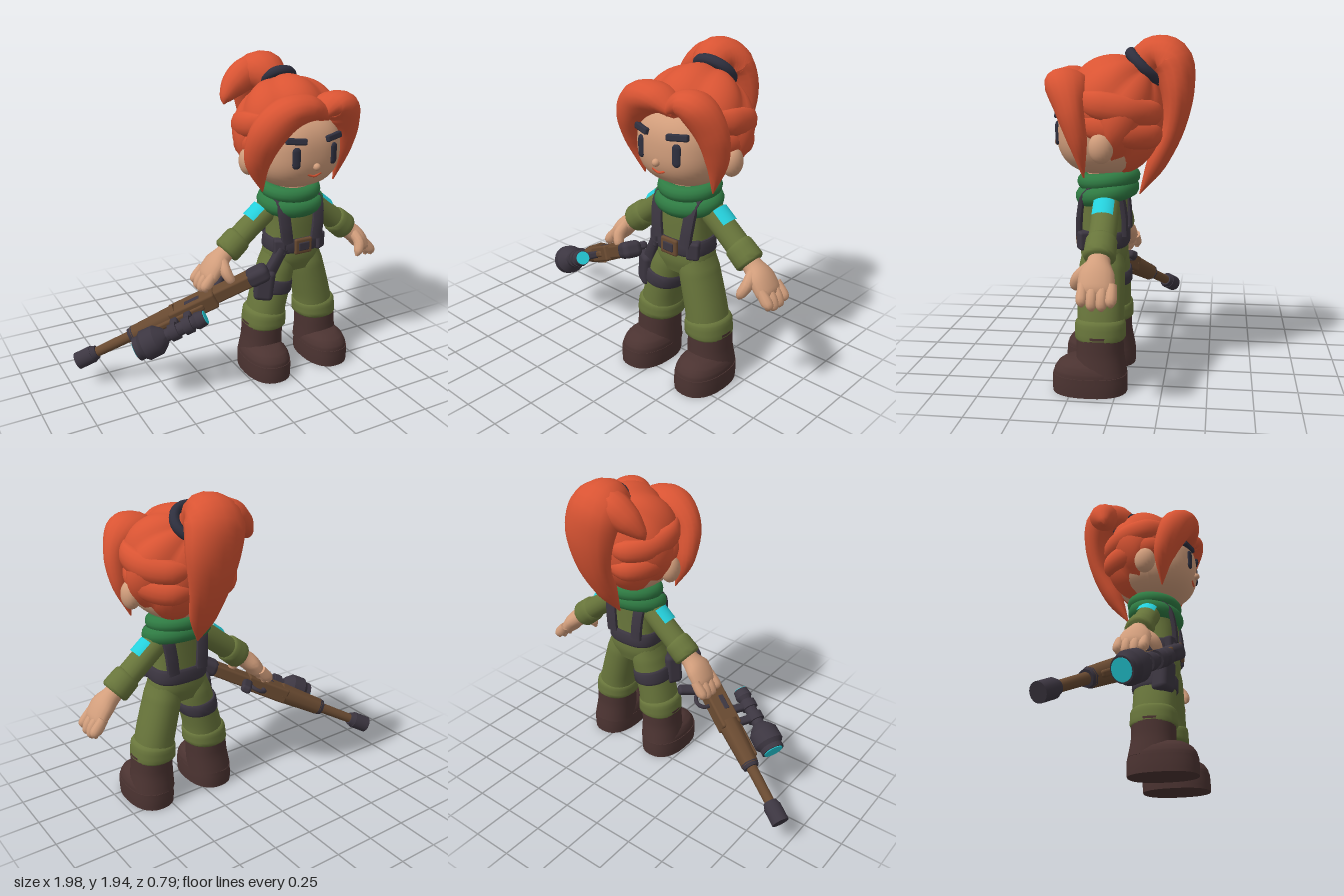
import * as THREE from 'three';
import { toCreasedNormals } from 'three/addons/utils/BufferGeometryUtils.js';
import { RoundedBoxGeometry } from 'three/addons/geometries/RoundedBoxGeometry.js';

const V = (x, y, z) => new THREE.Vector3(x, y, z);
const mat = (name, color) => Object.assign(new THREE.MeshStandardMaterial({ color }), { name });

// Tube through points; radii [a along axis, b across] per point, e < 1 makes the section boxier
function loft(pts, radii, axis, e = 1, seg = 18, per = 5) {
  const path = new THREE.CatmullRomCurve3(pts.map(p => V(...p)));
  const size = new THREE.CatmullRomCurve3(radii.map(r => V(r[0], r[1], 0)));
  const n = (pts.length - 1) * per, pos = [], idx = [];
  const pw = c => Math.sign(c) * Math.abs(c) ** e;
  for (let i = 0; i <= n; i++) {
    const p = path.getPoint(i / n), T = path.getTangent(i / n), r = size.getPoint(i / n);
    const B = V(...axis).addScaledVector(T, -T.dot(V(...axis))).normalize();
    const N = T.clone().cross(B);
    for (let j = 0; j < seg; j++) {
      const a = j / seg * Math.PI * 2;
      const q = p.clone().addScaledVector(B, r.x * pw(Math.cos(a))).addScaledVector(N, r.y * pw(Math.sin(a)));
      pos.push(q.x, q.y, q.z);
    }
  }
  for (let i = 0; i < n; i++) for (let j = 0; j < seg; j++) {
    const k = (j + 1) % seg, a = i * seg + j, b = i * seg + k;
    idx.push(a, b, a + seg, b, b + seg, a + seg);
  }
  const c = pos.length / 3, first = path.getPoint(0), last = path.getPoint(1), o = n * seg;
  pos.push(first.x, first.y, first.z, last.x, last.y, last.z);
  for (let j = 0; j < seg; j++) {
    const k = (j + 1) % seg;
    idx.push(c, k, j, c + 1, o + j, o + k);
  }
  const g = new THREE.BufferGeometry();
  g.setAttribute('position', new THREE.Float32BufferAttribute(pos, 3));
  g.setIndex(idx);
  return toCreasedNormals(g, 0.9);
}

// Unit sphere with every vertex moved by a rule
function warpSphere(rule) {
  const g = new THREE.SphereGeometry(1, 64, 36), p = g.attributes.position, v = V(0, 0, 0);
  for (let i = 0; i < p.count; i++) {
    rule(v.fromBufferAttribute(p, i));
    p.setXYZ(i, v.x, v.y, v.z);
  }
  return g;
}

export function createModel() {
  const M = {
    hair: mat('orange hair', 0xd95433), skin: mat('skin', 0xd29e7c), olive: mat('olive cloth', 0x68753b),
    scarf: mat('green scarf', 0x2f7b43), dark: mat('dark gear', 0x3c3641), navy: mat('dark features', 0x2f303f),
    boot: mat('boot leather', 0x4b3331), wood: mat('brown wood', 0x694a31), cyan: mat('cyan', 0x25d0dc),
  };
  const root = new THREE.Group(), body = new THREE.Group(), rifle = new THREE.Group();
  root.add(body, rifle);
  body.name = 'figure';
  rifle.name = 'rifle';
  body.position.x = 0.36;
  const add = (parent, name, geo, m, x = 0, y = 0, z = 0) => {
    const mesh = new THREE.Mesh(geo, m);
    mesh.name = name;
    mesh.position.set(x, y, z);
    parent.add(mesh);
    return mesh;
  };
  const rbox = (w, h, d, r = 0.015) => new RoundedBoxGeometry(w, h, d, 2, r);
  const X = [1, 0, 0], Z = [0, 0, 1];

  // Torso, belt and scarf
  add(body, 'torso', loft([[0, 0.665, 0.095], [0, 0.75, 0.095], [0, 0.87, 0.095], [0, 1, 0.095], [0, 1.1, 0.09], [0, 1.15, 0.085]],
    [[0.14, 0.11], [0.18, 0.13], [0.155, 0.125], [0.15, 0.125], [0.16, 0.12], [0.09, 0.08]], X, 0.75, 28), M.olive);
  add(body, 'belt', loft([[0, 0.79, 0.095], [0, 0.805, 0.095], [0, 0.865, 0.095], [0, 0.88, 0.095]],
    [[0.17, 0.135], [0.177, 0.142], [0.172, 0.14], [0.165, 0.133]], X, 0.75, 28, 2), M.dark);
  add(body, 'buckleFrame', rbox(0.12, 0.1, 0.025), M.wood, 0, 0.835, 0.238);
  add(body, 'bucklePlate', rbox(0.075, 0.055, 0.02, 0.008), M.dark, 0, 0.835, 0.246);
  add(body, 'neck', new THREE.CylinderGeometry(0.115, 0.115, 0.16, 24), M.skin, 0, 1.16, 0.075);
  [[1.163, 0.143, 0.047, 0.07, 0.12], [1.09, 0.162, 0.052, 0.078, 0.2]].forEach(([y, R, r, z, tilt], i) => {
    const ring = add(body, i ? 'scarfLowerFold' : 'scarfUpperFold', new THREE.TorusGeometry(R, r, 12, 36), M.scarf, 0, y, z);
    ring.rotation.x = Math.PI / 2 + tilt;
    ring.scale.y = i ? 0.84 : 0.93;
  });

  for (const s of [1, -1]) {
    const P = pts => pts.map(([x, y, z]) => [x * s, y, z]);
    add(body, 'shoulderStrap', loft(P([[0.1, 0.86, 0.222], [0.115, 0.98, 0.215], [0.122, 1.09, 0.185], [0.12, 1.14, 0.09],
      [0.115, 1.08, -0.005], [0.105, 0.98, -0.028], [0.095, 0.86, -0.032]]), Array(7).fill([0.038, 0.016]), X, 0.5, 12), M.dark);
    add(body, 'beltPouch', rbox(0.075, 0.105, 0.07), M.dark, 0.135 * s, 0.835, 0.19).rotation.y = 0.5 * s;

    // Legs and boots
    add(body, 'leg', loft(P([[0.095, 0.77, 0.095], [0.105, 0.68, 0.095], [0.135, 0.56, 0.095], [0.165, 0.44, 0.095], [0.18, 0.35, 0.095]]),
      [[0.08, 0.11], [0.103, 0.128], [0.108, 0.13], [0.112, 0.13], [0.118, 0.13]], X, 0.9, 24), M.olive);
    add(body, 'trouserCuff', loft(P([[0.187, 0.295, 0.095], [0.187, 0.31, 0.095], [0.182, 0.385, 0.095], [0.18, 0.405, 0.095]]),
      [[0.122, 0.13], [0.133, 0.142], [0.129, 0.14], [0.115, 0.126]], X, 0.9, 24, 3), M.olive);
    add(body, 'bootShaft', loft(P([[0.197, 0.33, 0.095], [0.2, 0.22, 0.095], [0.208, 0.1, 0.09]]),
      [[0.122, 0.13], [0.124, 0.132], [0.133, 0.146]], X, 0.9, 24), M.boot);
    add(body, 'bootFoot', loft(P([[0.212, 0.09, 0.15], [0.212, 0.125, 0.15], [0.212, 0.16, 0.15], [0.212, 0.19, 0.15], [0.212, 0.205, 0.15]]),
      [[0.137, 0.205], [0.134, 0.2], [0.12, 0.178], [0.085, 0.13], [0.03, 0.05]], X, 0.85, 28), M.boot);
    add(body, 'bootSole', loft(P([[0.213, 0, 0.15], [0.213, 0.05, 0.15], [0.213, 0.105, 0.15]]),
      [[0.139, 0.208], [0.141, 0.21], [0.139, 0.207]], X, 0.85, 28, 2), M.boot);

    // Arms, shoulder patches and hands
    add(body, 'sleeve', loft(P([[0.08, 1.09, 0.07], [0.15, 1.045, 0.065], [0.27, 0.95, 0.06], [0.39, 0.85, 0.06]]),
      [[0.05, 0.05], [0.074, 0.072], [0.074, 0.07], [0.075, 0.07]], Z), M.olive);
    add(body, 'sleeveCuff', loft(P([[0.335, 0.897, 0.06], [0.35, 0.885, 0.06], [0.425, 0.822, 0.06], [0.438, 0.811, 0.06]]),
      [[0.07, 0.07], [0.083, 0.083], [0.086, 0.086], [0.072, 0.072]], Z, 1, 18, 3), M.olive);
    const dir = V(0.77 * s, -0.64, 0).normalize(), out = V(0.64 * s, 0.77, s > 0 ? 0.05 : 0.12);
    out.addScaledVector(dir, -out.dot(dir)).normalize();
    const patch = add(body, 'shoulderPatch', new THREE.CylinderGeometry(0.084, 0.084, 0.1, 10, 1, true, -0.75, 1.5), M.cyan);
    patch.quaternion.setFromRotationMatrix(new THREE.Matrix4().makeBasis(dir.clone().cross(out), dir, out));
    patch.position.set(0.212 * s, 0.997, 0.063);
    add(body, 'palm', loft(P([[0.4, 0.84, 0.06], [0.45, 0.8, 0.06], [0.51, 0.75, 0.062], [0.555, 0.69, 0.06], [0.572, 0.655, 0.06]]),
      [[0.055, 0.055], [0.06, 0.055], [0.092, 0.056], [0.095, 0.048], [0.08, 0.03]], Z), M.skin);
    [0.125, 0.075, 0.025, -0.022].forEach((z, i) => {
      const d = i === 0 || i === 3 ? 0.02 : 0;
      add(body, 'finger', loft(P([[0.55, 0.71, z], [0.59, 0.66, z], [0.607, 0.62 + d, z], [0.602, 0.592 + d, z]]),
        [[0.026, 0.03], [0.031, 0.035], [0.029, 0.03], [0.01, 0.01]], Z, 1, 10, 4), M.skin);
    });
    add(body, 'thumb', loft(P([[0.48, 0.78, 0.1], [0.485, 0.73, 0.155], [0.465, 0.68, 0.18], [0.45, 0.65, 0.182]]),
      [[0.035, 0.035], [0.036, 0.034], [0.03, 0.028], [0.008, 0.008]], Z, 1, 10, 4), M.skin);

    // Ears, eyes and brows
    add(body, 'ear', new THREE.SphereGeometry(1, 20, 14), M.skin, 0.29 * s, 1.365, 0.07).scale.set(0.055, 0.083, 0.066);
    const eye = add(body, 'eye', new THREE.CapsuleGeometry(0.025, 0.078, 6, 16), M.navy, 0.125 * s, 1.423, 0.331);
    eye.scale.z = 0.5;
    eye.rotation.y = 0.25 * s;
    const brow = add(body, 'eyebrow', rbox(0.125, 0.038, 0.035, 0.01), M.navy, 0.125 * s, 1.52, 0.324);
    brow.rotation.set(-0.2, 0.3 * s, 0.13 * s);

    // Side locks swept back from the temples
    [[1.585, 0.06], [1.47, 0]].forEach(([y, x]) => add(body, 'sweptLock', loft(
      P([[0.245, y + 0.02, 0.19], [0.27 + x * 0.3, y, 0.08], [0.25 + x * 0.3, y - 0.03, -0.06], [0.17, y - 0.05, -0.18], [0.04, y - 0.04, -0.21]]),
      [[0.05, 0.02], [0.075, 0.05], [0.08, 0.06], [0.07, 0.05], [0.03, 0.02]], [0, 1, 0], 1, 14), M.hair));
  }

  // Holster on the right thigh
  add(body, 'thighStrap', loft([[-0.14, 0.53, 0.095], [-0.138, 0.545, 0.095], [-0.128, 0.605, 0.095], [-0.126, 0.615, 0.095]],
    [[0.113, 0.136], [0.118, 0.142], [0.117, 0.141], [0.112, 0.135]], X, 0.9, 24, 2), M.dark);
  add(body, 'holster', rbox(0.12, 0.2, 0.11, 0.03), M.dark, -0.225, 0.6, 0.165).rotation.set(0, -0.5, -0.1);
  add(body, 'holsterStrap', loft([[-0.125, 0.83, 0.2], [-0.165, 0.75, 0.195], [-0.21, 0.65, 0.175]],
    [[0.035, 0.035], [0.03, 0.035], [0.03, 0.045]], Z, 0.6, 12), M.dark);

  // Head
  add(body, 'head', warpSphere(v => {
    const k = (Math.abs(v.x) ** 2.5 + Math.abs(v.y) ** 2.5 + Math.abs(v.z) ** 2.5) ** -0.4;
    v.multiplyScalar(k).multiply(V(0.265, 0.24, 0.27));
  }), M.skin, 0, 1.43, 0.08).geometry.computeVertexNormals();
  add(body, 'nose', new THREE.SphereGeometry(0.022, 14, 10), M.skin, 0, 1.362, 0.352);
  const smile = new THREE.CatmullRomCurve3([V(-0.045, 1.316, 0.327), V(0, 1.302, 0.331), V(0.045, 1.316, 0.327)]);
  add(body, 'mouth', new THREE.TubeGeometry(smile, 10, 0.007, 6), M.hair);

  // Hair: cap with lobes that gather at the hair tie, drawn back below the ears
  const cap = warpSphere(v => {
    const lobe = Math.abs(Math.sin(3.5 * Math.atan2(v.x, v.z) + Math.PI / 2)) * Math.hypot(v.x, v.z);
    v.multiplyScalar(0.92 + 0.08 * lobe).applyAxisAngle(V(1, 0, 0), -0.7);
    if (v.z > 0) v.z *= v.y < 0 ? Math.max(0.2, 1 + 1.3 * v.y) : 1 + 0.25 * v.y;
    v.multiply(V(0.342, 0.335, 0.265));
  });
  add(body, 'hairCap', toCreasedNormals(cap, 0.5), M.hair, 0, 1.515, 0.015);

  // Bangs and ponytail
  add(body, 'rightBang', loft([[0.1, 1.64, 0.3], [-0.02, 1.69, 0.285], [-0.15, 1.67, 0.27], [-0.265, 1.57, 0.255], [-0.3, 1.4, 0.2], [-0.25, 1.2, 0.17]],
    [[0.04, 0.03], [0.105, 0.075], [0.125, 0.1], [0.09, 0.105], [0.06, 0.08], [0.004, 0.004]], [-0.5, 0.1, 0.85], 1, 16, 6), M.hair);
  add(body, 'leftBang', loft([[0.03, 1.64, 0.31], [0.11, 1.69, 0.275], [0.2, 1.67, 0.26], [0.275, 1.56, 0.235], [0.285, 1.4, 0.195], [0.245, 1.2, 0.17]],
    [[0.04, 0.03], [0.11, 0.07], [0.12, 0.095], [0.075, 0.09], [0.05, 0.065], [0.004, 0.004]], [0.5, 0.1, 0.85], 1, 16, 6), M.hair);
  add(body, 'ponytail', loft([[0, 1.7, -0.08], [-0.04, 1.81, -0.165], [-0.04, 1.8, -0.26], [-0.01, 1.66, -0.305], [0, 1.45, -0.285], [-0.01, 1.25, -0.195], [-0.03, 1.07, -0.1]],
    [[0.06, 0.06], [0.13, 0.12], [0.17, 0.125], [0.17, 0.095], [0.13, 0.065], [0.085, 0.055], [0.004, 0.004]], X, 1, 16, 5), M.hair);
  add(body, 'ponytailSideLock', loft([[0, 1.82, -0.22], [-0.13, 1.81, -0.24], [-0.23, 1.75, -0.225], [-0.3, 1.68, -0.2], [-0.315, 1.65, -0.19]],
    [[0.09, 0.09], [0.1, 0.1], [0.08, 0.08], [0.035, 0.035], [0.004, 0.004]], Z, 1, 14), M.hair);
  const tie = add(body, 'hairTie', new THREE.TorusGeometry(0.1, 0.026, 10, 28), M.navy, 0, 1.775, -0.125);
  tie.rotation.x = Math.PI / 4;
  tie.scale.set(1.08, 1.05, 1.2);

  // Rifle frame: z runs from butt to muzzle, y points to the scope
  const fwd = V(-1.04, -0.572, -0.485).normalize(), up = V(-0.41, -0.04, 0.91);
  up.addScaledVector(fwd, -up.dot(fwd)).normalize();
  rifle.quaternion.setFromRotationMatrix(new THREE.Matrix4().makeBasis(up.clone().cross(fwd), up, fwd));
  rifle.position.set(0.09, 0.733, 0.27);
  const block = (name, m, w, h, z0, z1, y = 0, x = 0) => add(rifle, name, rbox(w, h, z1 - z0, 0.014), m, x, y, (z0 + z1) / 2);
  const rod = (name, m, r0, r1, z0, z1, y = 0, seg = 20) =>
    add(rifle, name, new THREE.CylinderGeometry(r1, r0, z1 - z0, seg).rotateX(Math.PI / 2), m, 0, y, (z0 + z1) / 2);
  add(rifle, 'buttPad', rbox(0.1, 0.12, 0.14, 0.035), M.dark, 0, -0.01, 0.06);
  block('stock', M.wood, 0.08, 0.1, 0.1, 0.4, -0.012);
  block('receiver', M.wood, 0.1, 0.13, 0.34, 0.64);
  for (const s of [1, -1]) block('sidePlate', M.dark, 0.01, 0.035, 0.43, 0.53, 0.015, 0.048 * s);
  rod('handguard', M.wood, 0.068, 0.056, 0.6, 0.9, 0, 8);
  block('topRail', M.wood, 0.04, 0.03, 0.42, 0.86, 0.06);
  rod('handguardCap', M.dark, 0.058, 0.05, 0.89, 0.92, 0, 8);
  rod('barrel', M.wood, 0.033, 0.03, 0.9, 1.2);
  rod('muzzleCollar', M.dark, 0.04, 0.05, 1.15, 1.18);
  rod('muzzle', M.dark, 0.053, 0.053, 1.18, 1.285);
  add(rifle, 'grip', rbox(0.05, 0.17, 0.065, 0.02), M.dark, 0, -0.125, 0.32).rotation.x = 0.3;
  add(rifle, 'triggerGuard', new THREE.TorusGeometry(0.05, 0.013, 8, 20).rotateY(Math.PI / 2), M.dark, 0, -0.08, 0.41);

  // Scope
  const profile = [[0, 0.42], [0.045, 0.42], [0.052, 0.47], [0.038, 0.495], [0.038, 0.67], [0.06, 0.69], [0.09, 0.73], [0.092, 0.81], [0.072, 0.835], [0.072, 0.865], [0, 0.865]];
  const tube = new THREE.LatheGeometry(profile.map(p => new THREE.Vector2(...p)), 24).rotateX(Math.PI / 2);
  add(rifle, 'scopeBody', toCreasedNormals(tube, 0.4), M.dark, 0, 0.188, 0);
  rod('rearLens', M.cyan, 0.041, 0.041, 0.416, 0.424, 0.188);
  rod('frontLens', M.cyan, 0.062, 0.062, 0.861, 0.87, 0.188);
  for (const z of [0.53, 0.62]) {
    rod('scopeRing', M.dark, 0.052, 0.052, z - 0.025, z + 0.025, 0.188);
    block('scopeMount', M.dark, 0.045, 0.13, z - 0.025, z + 0.025, 0.11);
  }
  return root;
}
